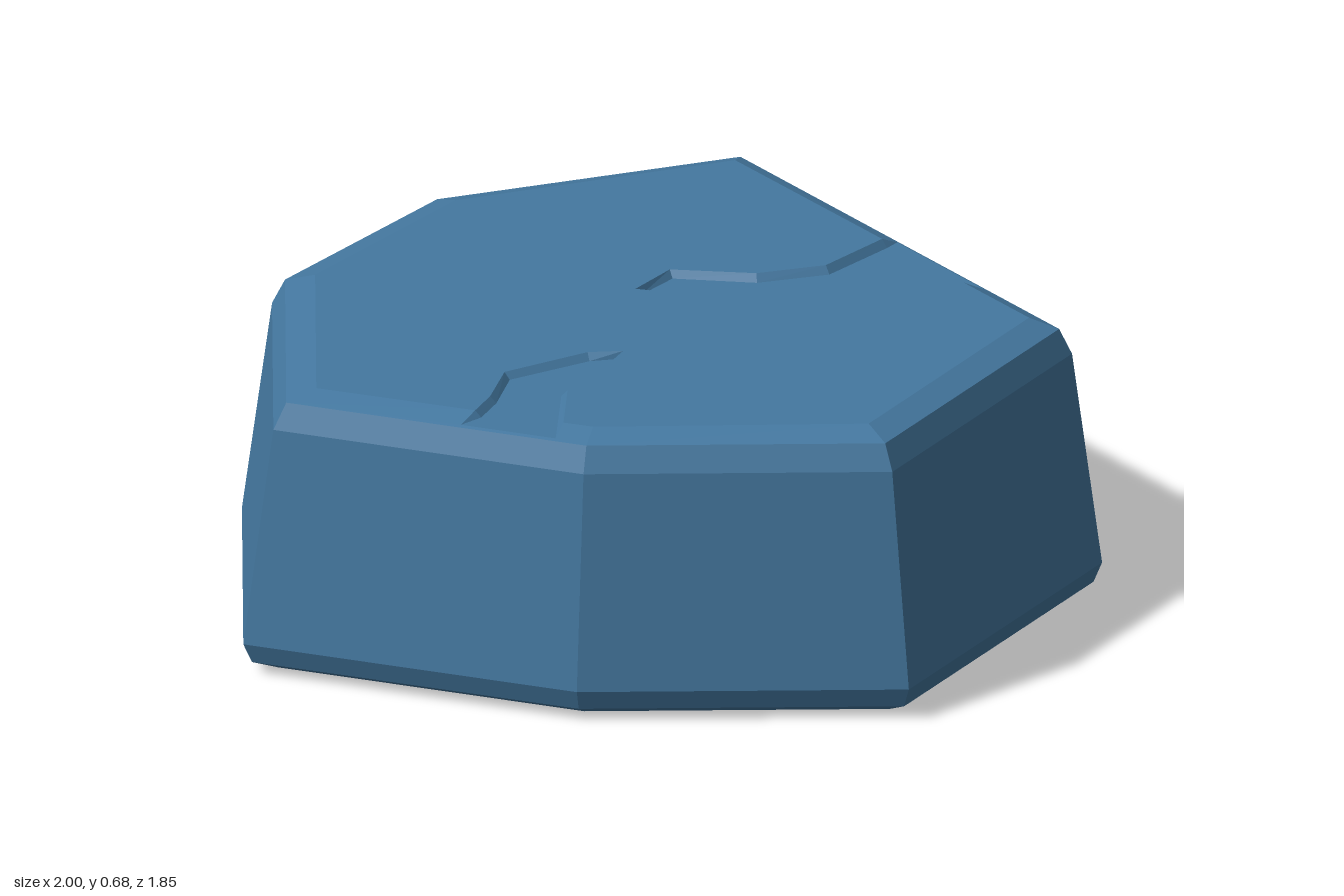
import * as THREE from 'three';

// Seven-sided plan (x, z), clockwise seen from above
const PLAN = [[0.02, -0.93], [1, 0], [0.68, 0.78], [-0.07, 0.92], [-0.87, 0.78], [-1, 0.02], [-0.7, -0.54]];
// Side profile: [scale of plan, height]
const PROFILE = [[0.92, 0], [0.98, 0.03], [1, 0.08], [0.93, 0.6], [0.9, 0.66]];
const TOP = 0.83, EXIT = 0.89, FLOOR = 0.663;
const topY = (x) => 0.68 + 0.004 * x;

// Cracks: plan edge they break through, start and end along it, and the rim between
const CRACKS = [
  { edge: 0, t: [0.5, 0.775], rim: [[0.32, -0.22], [0.17, -0.15], [-0.03, -0.14], [-0.09, -0.02], [0.11, 0], [0.3, -0.01], [0.45, 0.01], [0.6, -0.16]] },
  { edge: 3, t: [0.107, 0.426], rim: [[-0.15, 0.57], [-0.1, 0.47], [-0.06, 0.33], [-0.14, 0.35], [-0.31, 0.49], [-0.32, 0.63]] },
];

const ring = (s, y) => PLAN.map(([x, z]) => new THREE.Vector3(x * s, y, z * s));
const topPoint = (x, z) => new THREE.Vector3(x, topY(x), z);

function addTriangle(out, a, b, c) {
  const n = b.clone().sub(a).cross(c.clone().sub(a));
  if (n.length() > 1e-9) for (const p of [a, b, c]) out.push(p.x, p.y, p.z);
}

// Strip of quads between a lower and an upper line of points
function addStrip(out, low, high, closed) {
  const n = low.length;
  for (let i = 0; i < (closed ? n : n - 1); i++) {
    const j = (i + 1) % n;
    addTriangle(out, low[j], low[i], high[i]);
    addTriangle(out, low[j], high[i], high[j]);
  }
}

// Filled outline facing up (1) or down (-1)
function addCap(out, points, facing = 1) {
  const flat = points.map((p) => new THREE.Vector2(p.x, p.z));
  for (const [i, j, k] of THREE.ShapeUtils.triangulateShape(flat, [])) {
    const [a, b, c] = [points[i], points[j], points[k]];
    const up = (b.z - a.z) * (c.x - a.x) - (b.x - a.x) * (c.z - a.z);
    if (up * facing > 0) addTriangle(out, a, b, c);
    else addTriangle(out, a, c, b);
  }
}

// Floor line: rim moved into the crack and down
function insetRim(rim, distance) {
  return rim.map((p, i) => {
    const a = rim[Math.max(i - 1, 0)], b = rim[Math.min(i + 1, rim.length - 1)];
    const d1 = p.clone().sub(a).setY(0).normalize();
    const d2 = b.clone().sub(p).setY(0).normalize();
    const d = d1.add(d2).normalize();
    return new THREE.Vector3(p.x + d.z * distance, FLOOR, p.z - d.x * distance);
  });
}

export function createModel() {
  const group = new THREE.Group();
  const stone = new THREE.MeshStandardMaterial({ color: 0x4478a0 });
  const addMesh = (name, positions) => {
    const geometry = new THREE.BufferGeometry();
    geometry.setAttribute('position', new THREE.Float32BufferAttribute(positions, 3));
    geometry.computeVertexNormals();
    const mesh = new THREE.Mesh(geometry, stone);
    mesh.name = name;
    group.add(mesh);
  };

  // Sides and underside
  const sides = [];
  const rings = PROFILE.map(([s, y]) => ring(s, y));
  for (let i = 0; i < rings.length - 1; i++) addStrip(sides, rings[i], rings[i + 1], true);
  addCap(sides, rings[0], -1);
  addMesh('stoneSides', sides);

  // Top face and its bevel, notched where the cracks run out
  const outer = rings[rings.length - 1];
  const inner = ring(TOP, 0).map((p) => topPoint(p.x, p.z));
  const exitRing = ring(EXIT, FLOOR);
  const outline = [], bevel = [];
  PLAN.forEach((_, i) => {
    const j = (i + 1) % PLAN.length;
    const crack = CRACKS.find((c) => c.edge === i);
    outline.push(inner[i]);
    if (!crack) {
      addStrip(bevel, [outer[i], outer[j]], [inner[i], inner[j]], false);
      return;
    }
    const [start, end] = crack.t.map((t) => inner[i].clone().lerp(inner[j], t));
    const [exitStart, exitEnd] = crack.t.map((t) => exitRing[i].clone().lerp(exitRing[j], t));
    const rim = [start, ...crack.rim.map(([x, z]) => topPoint(x, z)), end];
    outline.push(...rim);
    addCap(bevel, [inner[i], start, exitStart, exitEnd, end, inner[j], outer[j], outer[i]]);

    // Crack walls and floor
    const floor = [exitStart, ...insetRim(rim, 0.015), exitEnd];
    const walls = [];
    addStrip(walls, floor, [exitStart, ...rim, exitEnd], false);
    addMesh('crackWalls', walls);
    const base = [];
    addCap(base, floor);
    addMesh('crackFloor', base);
  });
  addMesh('topBevel', bevel);
  const top = [];
  addCap(top, outline);
  addMesh('topFace', top);
  return group;
}
